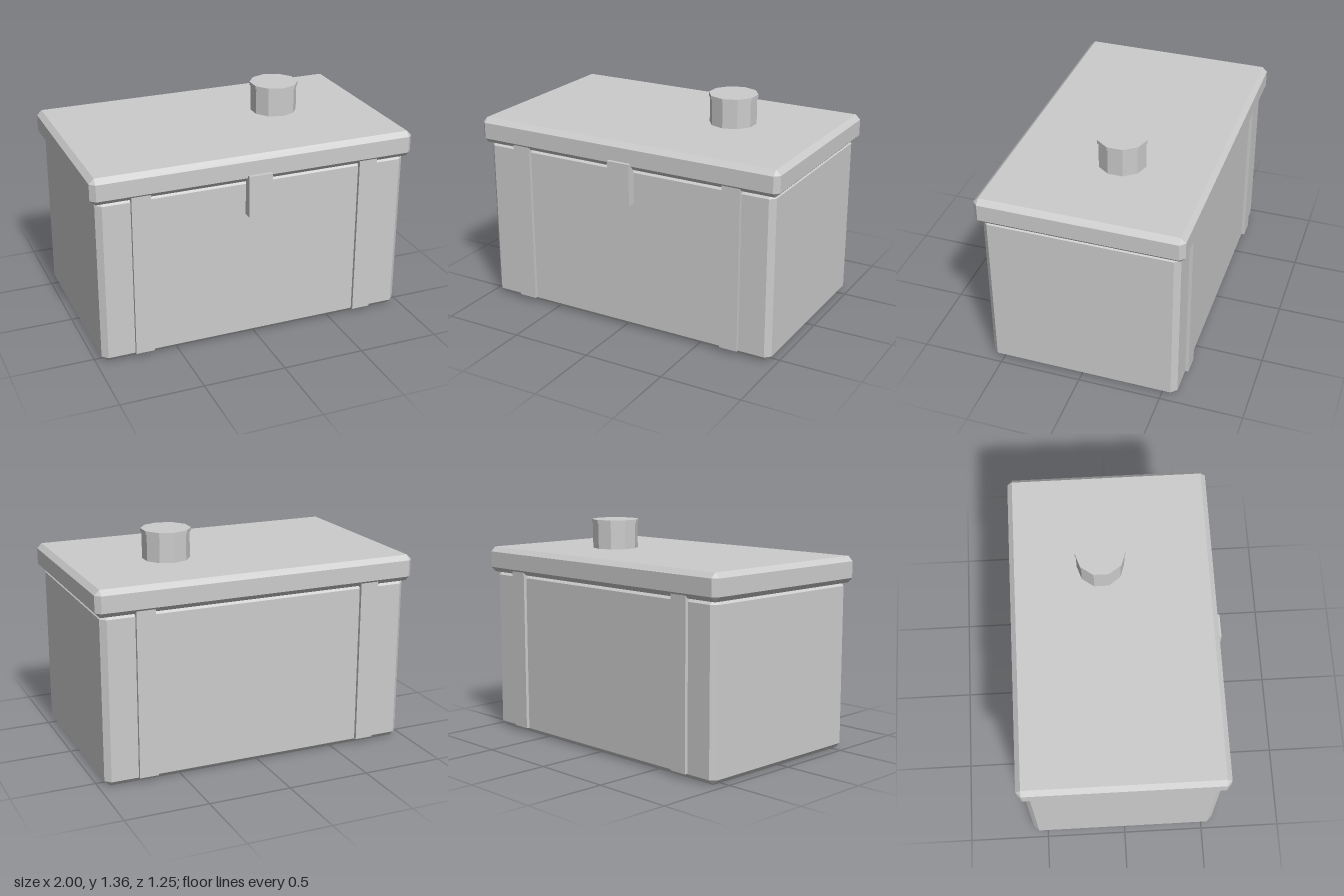
import * as THREE from 'three';
import { ConvexGeometry } from 'three/addons/geometries/ConvexGeometry.js';

// Box with every edge cut by a single flat bevel of size c
function bevelledBox(w, h, d, c) {
  const [x, y, z] = [w / 2, h / 2, d / 2];
  const points = [];
  for (const sx of [-1, 1]) for (const sy of [-1, 1]) for (const sz of [-1, 1]) {
    points.push(
      new THREE.Vector3(sx * x, sy * (y - c), sz * (z - c)),
      new THREE.Vector3(sx * (x - c), sy * y, sz * (z - c)),
      new THREE.Vector3(sx * (x - c), sy * (y - c), sz * z)
    );
  }
  return new ConvexGeometry(points);
}

export function createModel() {
  const model = new THREE.Group();
  model.name = 'chest';
  const grey = new THREE.MeshStandardMaterial({ color: 0xcccccc, flatShading: true });
  grey.name = 'light grey';

  function add(name, geometry, x, y, z, parent = model) {
    const mesh = new THREE.Mesh(geometry, grey);
    mesh.name = name;
    mesh.position.set(x, y, z);
    parent.add(mesh);
  }

  const midZ = -0.01;

  // Main box and overhanging lid
  add('body', bevelledBox(1.93, 1.035, 1.16, 0.033), 0, 0.5175, midZ);
  add('lid', bevelledBox(2, 0.16, 1.225, 0.03), 0, 1.1, midZ);

  // Vertical straps, two on the front and two on the back
  for (const side of [1, -1]) for (const face of [1, -1]) {
    const name = (face > 0 ? 'front' : 'back') + (side > 0 ? 'Left' : 'Right') + 'Strap';
    add(name, new THREE.BoxGeometry(0.114, 1.005, 0.04), side * 0.71, 0.5375, midZ + face * 0.58);
  }

  // Latch on the front
  add('latch', new THREE.BoxGeometry(0.145, 0.255, 0.055), 0, 0.938, 0.5965);

  // Ten-sided filler cap on the lid
  const cap = new THREE.Group();
  cap.name = 'fillerCap';
  cap.position.set(0.385, 0, -0.075);
  add('capNeck', new THREE.CylinderGeometry(0.143, 0.143, 0.18, 10), 0, 1.26, 0, cap);
  add('capTop', new THREE.CylinderGeometry(0.15, 0.15, 0.022, 10), 0, 1.351, 0, cap);
  model.add(cap);

  return model;
}
